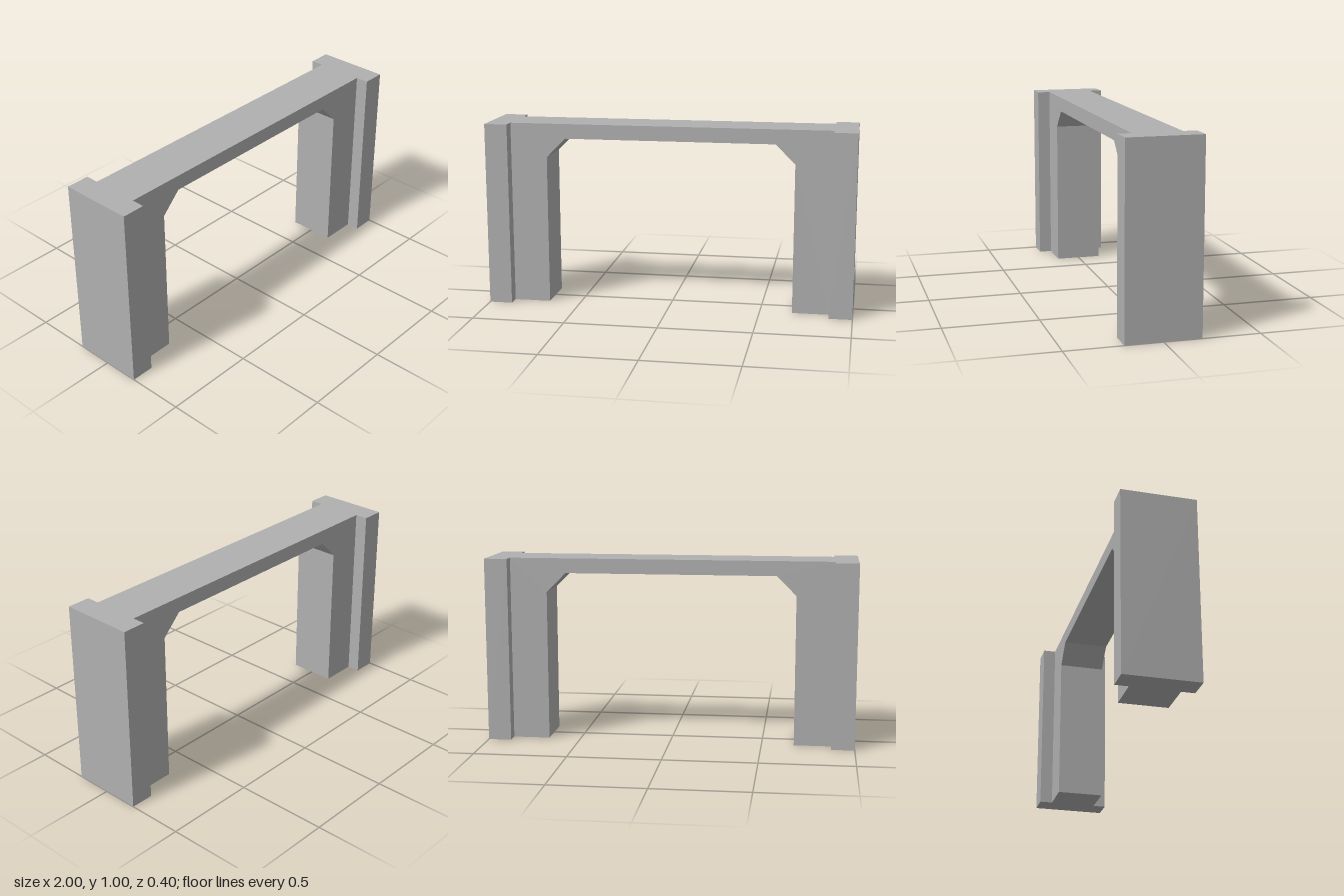
import * as THREE from 'three';

export function createModel() {
  const model = new THREE.Group();
  model.name = 'portalFrame';
  const concrete = new THREE.MeshStandardMaterial({ color: 0xb0b0b0 });
  concrete.name = 'concrete grey';

  // Thin lintel and inner legs with chamfered corners, one extruded outline
  const half = [[0.875, 1], [0.875, 0], [0.675, 0], [0.675, 0.815], [0.57, 0.92]];
  const mirrored = half.map(([x, y]) => [-x, y]).reverse();
  const outline = new THREE.Shape([...half, ...mirrored].map(([x, y]) => new THREE.Vector2(x, y)));
  const depth = 0.255;
  const archGeometry = new THREE.ExtrudeGeometry(outline, { depth, bevelEnabled: false });
  archGeometry.translate(0, 0, -depth / 2);
  const arch = new THREE.Mesh(archGeometry, concrete);
  arch.name = 'arch';
  model.add(arch);

  // Wider flange pillars closing both ends
  const flangeGeometry = new THREE.BoxGeometry(0.125, 1, 0.395);
  for (const side of [-1, 1]) {
    const flange = new THREE.Mesh(flangeGeometry, concrete);
    flange.name = side > 0 ? 'leftFlange' : 'rightFlange';
    flange.position.set(side * 0.9375, 0.5, 0);
    model.add(flange);
  }
  return model;
}
